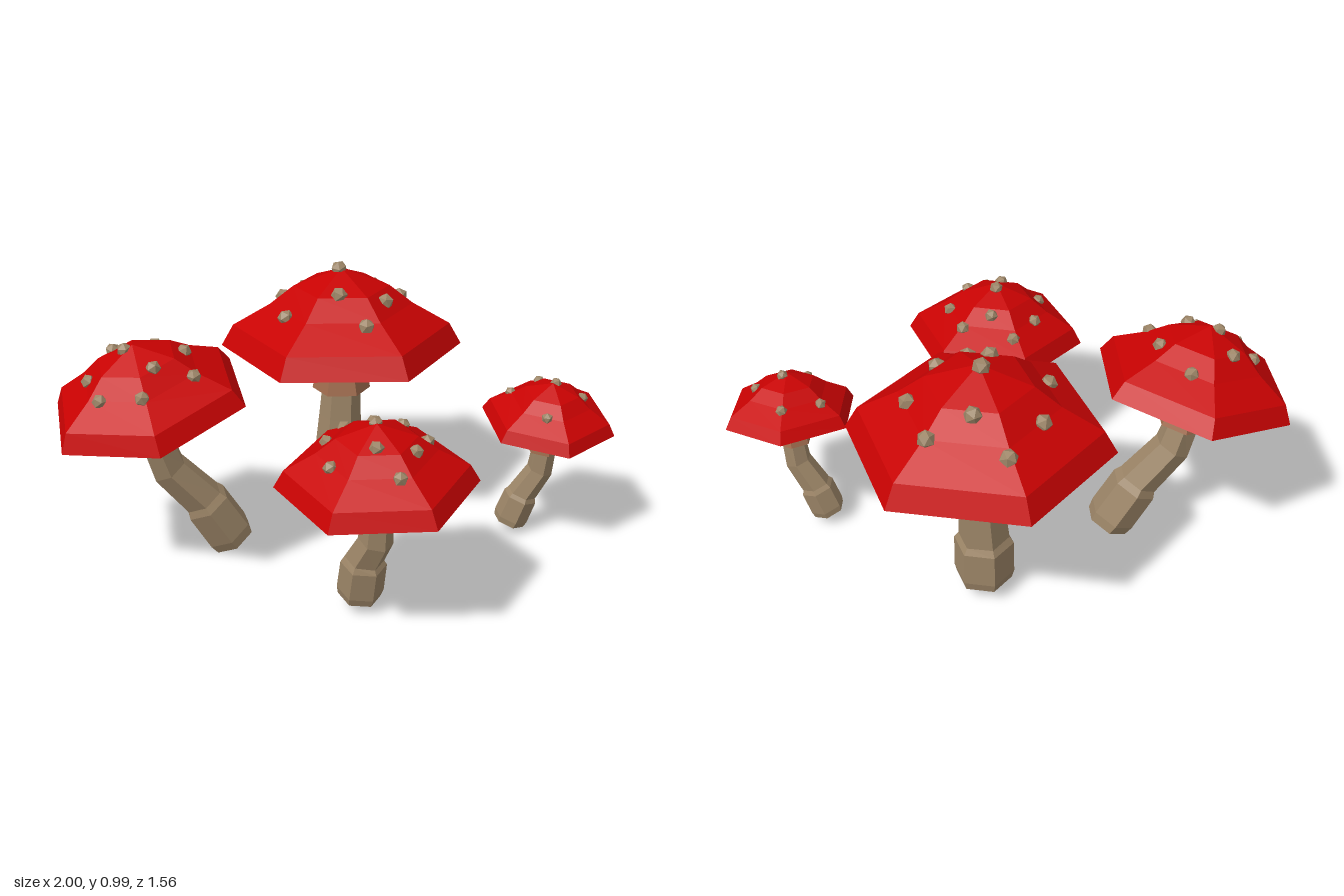
import * as THREE from 'three';

const mat = (name, color) => new THREE.MeshStandardMaterial({ name, color, flatShading: true });

// Cap outline (radius, height) for a cap of rim radius 1
const CAP = [[1, 0], [0.9, 0.178], [0.59, 0.358], [0.395, 0.512], [0, 0.66]];
const UNDER = [[0, -0.12], [1, 0]];

// Spot layouts seen from above (x, z), for a cap of rim radius 1
const FULL = [[-0.33, -0.55], [0.25, -0.52], [-0.04, -0.36], [-0.49, -0.17], [0.48, -0.16],
  [-0.02, -0.01], [-0.44, 0.32], [-0.01, 0.31], [0.36, 0.21], [0.21, 0.53]];
const LOOSE = [[0.01, -0.44], [-0.34, -0.14], [0.34, -0.11], [-0.53, 0.14], [-0.18, 0.11],
  [0.48, 0.26], [0.12, 0.33], [-0.36, 0.49], [0.05, 0.59]];
const SPARSE = [[-0.09, -0.53], [-0.55, -0.19], [0.08, 0.04], [0.49, -0.02], [-0.09, 0.55]];

// cap: centre of rim; slope: rise of the rim plane along x and z; turn: angle of a rim corner
// stem: centre line from foot to collar (foot, top of bulb, middle, neck)
const MUSHROOMS = [
  { name: 'largeMushroom', cap: [0, 0.672, -0.375], radius: 0.455, slope: [0, 0], turn: -3,
    thick: 0.108, spots: FULL,
    stem: [[-0.01, 0.06, -0.376], [-0.01, 0.25, -0.376], [-0.005, 0.38, -0.38], [0, 0.5, -0.382]] },
  { name: 'leaningMushroom', cap: [-0.655, 0.627, 0.13], radius: 0.365, slope: [0.163, -0.156], turn: 16,
    thick: 0.092, spots: LOOSE,
    stem: [[-0.395, 0.045, 0.01], [-0.495, 0.23, 0.055], [-0.605, 0.37, 0.1], [-0.632, 0.47, 0.12]] },
  { name: 'frontMushroom', cap: [0.137, 0.505, 0.48], radius: 0.337, slope: [0.015, -0.083], turn: -3.5,
    thick: 0.081, spots: FULL,
    stem: [[0.082, 0.05, 0.415], [0.098, 0.205, 0.44], [0.135, 0.29, 0.47], [0.14, 0.38, 0.475]] },
  { name: 'smallMushroom', cap: [0.764, 0.47, -0.121], radius: 0.247, slope: [-0.05, -0.15], turn: 18,
    thick: 0.065, spots: SPARSE,
    stem: [[0.647, 0.045, -0.146], [0.69, 0.165, -0.144], [0.75, 0.265, -0.14], [0.762, 0.365, -0.133]] },
];

const UP = new THREE.Vector3(0, 1, 0);

// Six-sided skin through rings of { c: centre, d: axis, r: radius }
function loft(rings, turn) {
  const sides = 6, pos = [], idx = [];
  for (const { c, d, r } of rings) {
    const q = new THREE.Quaternion().setFromUnitVectors(UP, d);
    for (let i = 0; i < sides; i++) {
      const a = turn + (i / sides) * Math.PI * 2;
      const v = new THREE.Vector3(Math.sin(a) * r, 0, Math.cos(a) * r).applyQuaternion(q).add(c);
      pos.push(v.x, v.y, v.z);
    }
  }
  for (let j = 0; j < rings.length - 1; j++) {
    for (let i = 0; i < sides; i++) {
      const a = j * sides + i, b = j * sides + (i + 1) % sides;
      idx.push(a, b, a + sides, b + sides, a + sides, b);
    }
  }
  const g = new THREE.BufferGeometry();
  g.setAttribute('position', new THREE.Float32BufferAttribute(pos, 3));
  g.setIndex(idx);
  g.computeVertexNormals();
  return g;
}

// Bent stem with a thicker bulb at the foot
function stemGeometry(m, axis, turn) {
  const [foot, bulb, mid, neck] = m.stem.map(p => new THREE.Vector3(...p));
  const low = bulb.clone().sub(foot).normalize();
  const bend = neck.clone().sub(bulb).normalize();
  const kink = low.clone().add(bend).normalize();
  const at = t => foot.clone().lerp(bulb, t);
  const ring = (c, d, r) => ({ c, d, r: r * m.thick });
  return loft([
    ring(foot, low, 0), ring(foot, low, 0.92), ring(at(0.18), low, 1), ring(at(0.87), low, 0.98),
    ring(bulb, kink, 0.84), ring(mid, bend, 0.75), ring(neck, axis, 0.68),
    ring(new THREE.Vector3(...m.cap), axis, 0.63),
  ], turn);
}

function addMesh(parent, name, geometry, material) {
  const mesh = new THREE.Mesh(geometry, material);
  mesh.name = name;
  parent.add(mesh);
  return mesh;
}

export function createModel() {
  const red = mat('capRed', 0xc80202);
  const tan = mat('stemTan', 0x9c8567);
  const brown = mat('collarBrown', 0xa06c4e);

  const model = new THREE.Group();
  model.name = 'mushroomCluster';

  for (const m of MUSHROOMS) {
    const group = new THREE.Group();
    group.name = m.name;
    model.add(group);

    const axis = new THREE.Vector3(-m.slope[0], 1, -m.slope[1]).normalize();
    const turn = Math.PI / 2 - THREE.MathUtils.degToRad(m.turn);
    addMesh(group, 'stem', stemGeometry(m, axis, turn), tan);

    // Head: cap, underside and collar share the tilted axis
    const head = new THREE.Group();
    head.name = 'head';
    head.position.set(...m.cap);
    head.quaternion.setFromUnitVectors(UP, axis);
    group.add(head);
    const lathe = outline => new THREE.LatheGeometry(
      outline.map(([r, y]) => new THREE.Vector2(r * m.radius, y * m.radius)), 6).rotateY(turn);
    const cap = addMesh(head, 'cap', lathe(CAP), red);
    addMesh(head, 'capUnderside', lathe(UNDER), red);
    const collarHeight = 0.015 + 0.3 * m.radius;
    addMesh(head, 'collar',
      new THREE.CylinderGeometry(m.thick * 0.7, m.thick * 1.03, collarHeight, 6)
        .rotateY(turn).translate(0, -0.025 - collarHeight / 2, 0), brown);

    // Spots dropped straight down onto the cap
    group.updateMatrixWorld(true);
    const spotGeometry = new THREE.IcosahedronGeometry(0.009 + 0.05 * m.radius, 0);
    m.spots.forEach(([x, z], i) => {
      const above = new THREE.Vector3(m.cap[0] + x * m.radius, 3, m.cap[2] + z * m.radius);
      const [hit] = new THREE.Raycaster(above, new THREE.Vector3(0, -1, 0)).intersectObject(cap);
      const spot = addMesh(group, 'spot', spotGeometry, tan);
      spot.position.copy(hit.point);
      spot.rotation.set(i * 1.3, i * 2.1, i * 0.7);
    });
  }
  return model;
}
